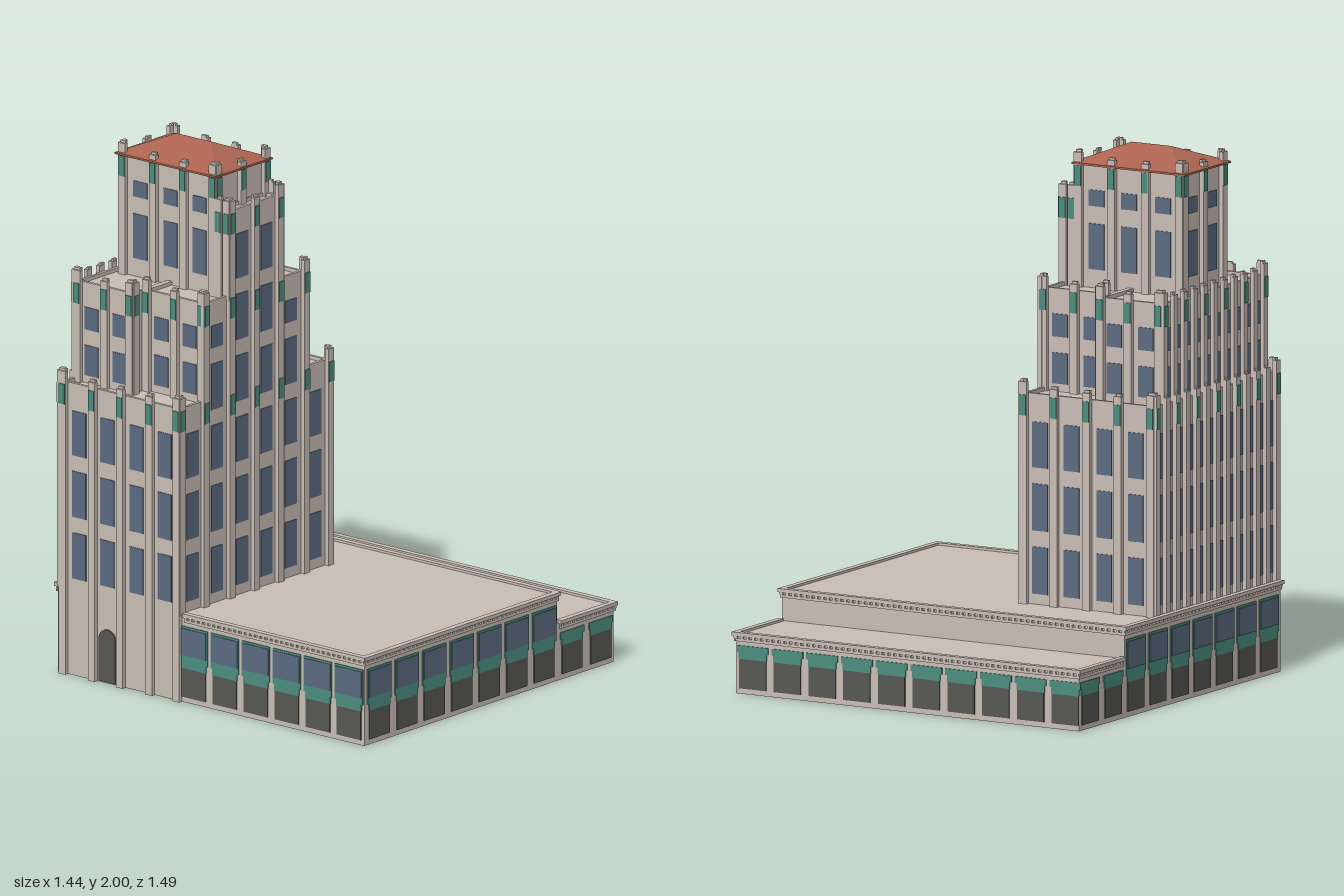
import * as THREE from 'three';
import { mergeGeometries } from 'three/addons/utils/BufferGeometryUtils.js';
import { ConvexGeometry } from 'three/addons/geometries/ConvexGeometry.js';

function material(name, color) {
  const m = new THREE.MeshStandardMaterial({ color });
  m.name = name;
  return m;
}

export function createModel() {
  const stone = material('stone', 0xcabfb6);
  stone.side = THREE.DoubleSide;
  const glass = material('blueGlass', 0x5c6c82);
  const teal = material('tealTile', 0x4b8f80);
  const dark = material('darkPanel', 0x575853);
  const clay = material('clayRoof', 0xab6350);

  // Geometries are collected by part name and merged at the end
  const parts = new Map();
  function add(name, mat, geo) {
    const g = geo.index ? geo.toNonIndexed() : geo;
    if (!parts.has(name)) parts.set(name, { mat, list: [] });
    parts.get(name).list.push(g);
  }

  // Box between limits, keeping only the listed sides (+x -x +y -y +z -z)
  function block(name, mat, x0, x1, y0, y1, z0, z1, keep = [0, 1, 2, 3, 4, 5]) {
    const g = new THREE.BoxGeometry(x1 - x0, y1 - y0, z1 - z0);
    g.setIndex(Array.from(g.index.array).filter((_, i) => keep.includes(Math.floor(i / 6))));
    g.clearGroups();
    g.translate((x0 + x1) / 2, (y0 + y1) / 2, (z0 + z1) / 2);
    add(name, mat, g);
  }

  // Slab standing out from a wall; wall = [axis, outward sign, plane]
  function slab(name, mat, [axis, s, plane], u, w, y0, y1, depth, offset = 0) {
    const a = plane + s * offset, b = a + s * depth;
    const lo = Math.min(a, b), hi = Math.max(a, b);
    if (axis === 'x') block(name, mat, lo, hi, y0, y1, u - w / 2, u + w / 2);
    else block(name, mat, u - w / 2, u + w / 2, y0, y1, lo, hi);
  }

  function windows(wall, us, rows, w = 0.066) {
    for (const u of us) for (const [y0, y1] of rows) slab('towerWindows', glass, wall, u, w, y0, y1, 0.003);
  }

  // Buttress piers: ends rise higher, teal tile near the parapet
  function piers(wall, us, y0, top, { w = 0.032, every = 1, ends = true } = {}) {
    us.forEach((u, i) => {
      const end = ends && (i === 0 || i === us.length - 1);
      const y1 = top + (end ? 0.042 : 0.025);
      slab('piers', stone, wall, u, w, y0, y1, 0.016, 0);
      slab('pierCaps', stone, wall, u, w * 0.7, y1, y1 + 0.009, 0.012, -0.004);
      if (i % every === 0) slab('pierTiles', teal, wall, u, w * 0.84, top - 0.083, top - 0.006, 0.003, 0.016);
    });
  }

  // Hollow tower stage with a low parapet rim
  function stage(x0, x1, z0, z1, top) {
    const t = 0.012, r = top - 0.014;
    block('towerWalls', stone, x0, x1, 0.31, r, z0, z1, [0, 1, 2, 4, 5]);
    block('parapets', stone, x0, x0 + t, r, top, z0, z1);
    block('parapets', stone, x1 - t, x1, r, top, z0, z1);
    block('parapets', stone, x0, x1, r, top, z0, z0 + t);
    block('parapets', stone, x0, x1, r, top, z1 - t, z1);
  }

  // Podium cornice with a row of dentils
  function cornice(wall, u0, u1, top) {
    const u = (u0 + u1) / 2, w = u1 - u0;
    slab('cornices', stone, wall, u, w, top - 0.014, top, 0.024, -0.012);
    slab('cornices', stone, wall, u, w - 0.01, top - 0.034, top - 0.024, 0.006);
    const n = Math.round(w / 0.025);
    for (let i = 0; i < n; i++) slab('dentils', stone, wall, u0 + (i + 0.5) * w / n, 0.012, top - 0.024, top - 0.014, 0.008);
  }

  // Podium shopfront bays
  function shopfronts(wall, us, tall) {
    for (const u of us) {
      slab('shopPanels', dark, wall, u, 0.115, 0.02, 0.13, 0.004);
      slab('shopBands', teal, wall, u, 0.12, 0.13, 0.155, 0.004);
      slab('shopBands', teal, wall, u, 0.134, 0.155, tall ? 0.29 : 0.18, 0.004);
      if (tall) slab('shopWindows', glass, wall, u, 0.124, 0.18, 0.282, 0.003, 0.004);
    }
  }

  const range = (n, start, step) => Array.from({ length: n }, (_, i) => start + i * step);

  // Podium: open-bottomed walls, high and low roofs
  block('podiumWalls', stone, -0.703, 0.385, 0, 0.33, -0.735, 0.735, [1, 4, 5]);
  block('podiumWalls', stone, 0.385, 0.705, 0, 0.22, -0.735, 0.735, [0, 2, 4, 5]);
  block('podiumRiser', stone, 0.377, 0.385, 0.2, 0.33, -0.735, 0.735);
  block('podiumRoof', stone, -0.703, 0.385, 0.32, 0.331, -0.15, 0.735);
  block('podiumRoof', stone, 0.135, 0.385, 0.32, 0.331, -0.735, -0.15);
  block('podiumRoof', stone, -0.703, 0.135, 0.32, 0.331, -0.735, -0.71);

  const front = ['z', 1, 0.735], back = ['z', -1, -0.735], left = ['x', 1, 0.705], right = ['x', -1, -0.703];
  for (const wall of [front, back]) {
    cornice(wall, -0.712, 0.395, 0.34);
    cornice(wall, 0.395, 0.717, 0.229);
    shopfronts(wall, range(7, -0.62, 0.155), true);
    shopfronts(wall, [0.468, 0.63], false);
  }
  cornice(left, -0.745, 0.745, 0.229);
  cornice(['x', 1, 0.385], -0.745, 0.745, 0.34);
  cornice(right, -0.13, 0.745, 0.34);
  shopfronts(left, range(10, 0.663, -0.149), false);
  shopfronts(right, range(6, 0.663, -0.149), true);

  // Arched side door
  const arch = new THREE.Shape();
  arch.moveTo(-0.04, 0).lineTo(0.04, 0).lineTo(0.04, 0.16);
  arch.absarc(0, 0.16, 0.04, 0, Math.PI, false);
  const door = new THREE.ExtrudeGeometry(arch, { depth: 0.006, bevelEnabled: false, curveSegments: 8 });
  door.rotateY(-Math.PI / 2).translate(-0.703, 0.005, -0.495);
  add('archedDoor', dark, door);

  // Tower stages
  stage(-0.705, 0.135, -0.71, -0.15, 1.115);
  stage(-0.635, 0.065, -0.70, -0.435, 1.485);
  stage(-0.565, -0.005, -0.436, -0.15, 1.485);
  stage(-0.425, -0.145, -0.22, -0.15, 1.805);
  stage(-0.425, -0.145, -0.655, -0.215, 1.93);

  const lowRows = [[0.37, 0.545], [0.605, 0.78], [0.84, 1.01]];
  const midRows = [[1.13, 1.245], [1.305, 1.39]];
  const topRows = [[1.54, 1.71], [1.775, 1.835]];
  const zPiers = [-0.154, -0.285, -0.425, -0.56, -0.70];
  const zWindows = [-0.22, -0.355, -0.495, -0.63];
  const bayPiers = [-0.422, -0.285, -0.148];
  const bayWindows = [-0.353, -0.216];

  // Front of the tower, flush up to the central bay
  const face = ['z', 1, -0.15];
  windows(face, [-0.632, 0.06], lowRows);
  windows(face, [-0.495, -0.077], [...lowRows, [1.07, 1.245], [1.305, 1.39]]);
  windows(face, bayWindows, [...lowRows, [1.07, 1.245], [1.305, 1.48], [1.54, 1.71]]);
  piers(face, [-0.704, 0.134], 0.33, 1.115);
  piers(face, [-0.568, -0.002], 0.33, 1.485);
  piers(face, bayPiers, 0.33, 1.805);
  for (const u of [-0.568, ...bayPiers, -0.002]) slab('pierTiles', teal, face, u, 0.027, 1.032, 1.109, 0.003, 0.016);
  for (const u of bayPiers) slab('pierTiles', teal, face, u, 0.027, 1.402, 1.479, 0.003, 0.016);

  // Both flanks of every stage
  for (const s of [1, -1]) {
    const at = (plus, minus) => ['x', s, s > 0 ? plus : minus];
    piers(at(0.135, -0.705), zPiers, s > 0 ? 0.33 : 0, 1.115);
    windows(at(0.135, -0.705), zWindows, lowRows);
    piers(at(0.065, -0.635), [-0.44, -0.56, -0.69], 1.1, 1.485);
    windows(at(0.065, -0.635), [-0.495, -0.63], midRows);
    piers(at(-0.005, -0.565), [-0.154, -0.285, -0.42], 1.1, 1.485);
    windows(at(-0.005, -0.565), [-0.22, -0.355], midRows);
    piers(at(-0.145, -0.425), [-0.152, -0.19], 1.47, 1.805);
    piers(at(-0.145, -0.425), [-0.218, -0.36, -0.505, -0.652], 1.47, 1.93);
    windows(at(-0.145, -0.425), [-0.29, -0.43, -0.575], topRows);
  }

  // Shoulders beside the middle stage, and the top stage front
  piers(['z', 1, -0.435], [-0.63, 0.06], 1.1, 1.485);
  piers(['z', 1, -0.215], bayPiers, 1.79, 1.93);

  // Back: closely spaced slim piers with narrow windows
  piers(['z', -1, -0.71], range(13, -0.705, 0.07), 0.33, 1.115, { w: 0.028, every: 2 });
  windows(['z', -1, -0.71], range(12, -0.67, 0.07), lowRows, 0.034);
  piers(['z', -1, -0.70], range(11, -0.635, 0.07), 1.1, 1.485, { w: 0.028, every: 2 });
  windows(['z', -1, -0.70], range(10, -0.60, 0.07), midRows, 0.034);
  piers(['z', -1, -0.655], bayPiers, 1.47, 1.93);
  windows(['z', -1, -0.655], bayWindows, topRows);

  // Hipped roof with thin eaves
  const hip = [[-0.285, 2, -0.52], [-0.285, 2, -0.355]];
  for (const x of [-0.448, -0.125]) for (const z of [-0.68, -0.195]) hip.push([x, 1.927, z], [x, 1.934, z]);
  add('hippedRoof', clay, new ConvexGeometry(hip.map(p => new THREE.Vector3(...p))));

  const model = new THREE.Group();
  model.name = 'setbackTower';
  for (const [name, { mat, list }] of parts) {
    for (const g of list) g.deleteAttribute('uv');
    const mesh = new THREE.Mesh(mergeGeometries(list), mat);
    mesh.name = name;
    model.add(mesh);
  }
  return model;
}
